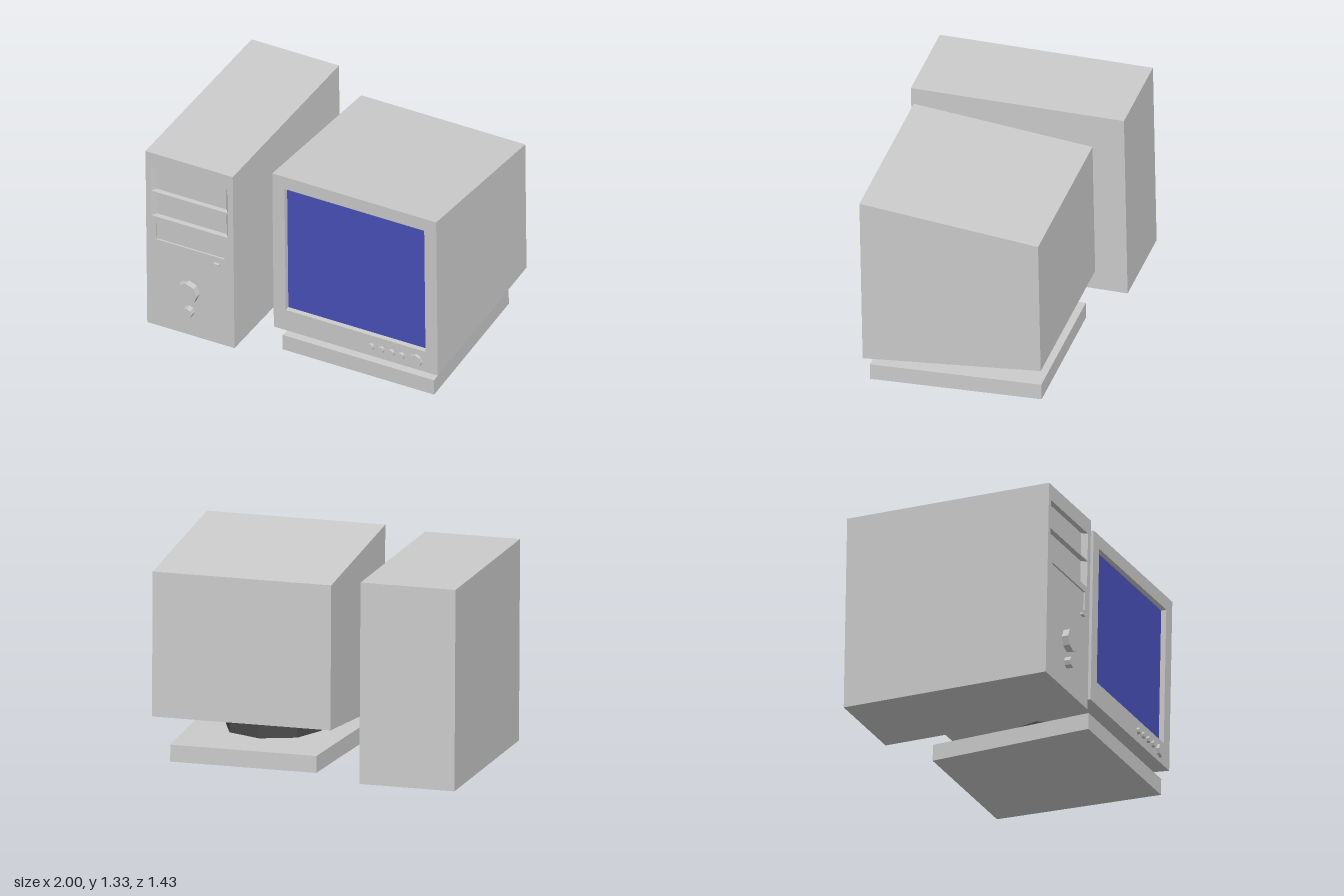
import * as THREE from 'three';

const grey = new THREE.MeshStandardMaterial({ color: 0xcccccc, flatShading: true });
const dark = new THREE.MeshStandardMaterial({ color: 0x4a4a4a, flatShading: true });
const blue = new THREE.MeshStandardMaterial({ color: 0x4a50bb });

// Skins rectangles [x0, x1, y0, y1, z], running from the back forwards, then inwards for a recess.
function loft(rings, capBack, capFront) {
  const pos = [];
  const corners = rings.map(([x0, x1, y0, y1, z]) =>
    [[x0, y0, z], [x1, y0, z], [x1, y1, z], [x0, y1, z]]);
  const quad = (a, b, c, d) => [a, b, c, a, c, d].forEach((p) => pos.push(...p));
  for (let i = 0; i < rings.length - 1; i++) {
    for (let j = 0; j < 4; j++) {
      const k = (j + 1) % 4;
      quad(corners[i][j], corners[i][k], corners[i + 1][k], corners[i + 1][j]);
    }
  }
  if (capBack) quad(...[...corners[0]].reverse());
  if (capFront) quad(...corners[corners.length - 1]);
  const g = new THREE.BufferGeometry();
  g.setAttribute('position', new THREE.Float32BufferAttribute(pos, 3));
  g.computeVertexNormals();
  return g;
}

function add(parent, name, geometry, material = grey, x = 0, y = 0, z = 0) {
  const mesh = new THREE.Mesh(geometry, material);
  mesh.name = name;
  mesh.position.set(x, y, z);
  parent.add(mesh);
  return mesh;
}

// Eight-sided button standing out of a front face at z
function addButton(parent, name, x, y, z, r, length) {
  const g = new THREE.CylinderGeometry(r, r, length + 0.01, 8).rotateX(Math.PI / 2);
  add(parent, name, g, grey, x, y, z + (length - 0.01) / 2);
}

function rectPoints(x0, x1, y0, y1) {
  return [[x0, y0], [x1, y0], [x1, y1], [x0, y1]].map((p) => new THREE.Vector2(...p));
}

function createTower() {
  const tower = new THREE.Group();
  tower.name = 'tower';
  const [x0, x1, y0, y1, depth] = [-1, -0.385, 0, 1.285, 1.38];
  add(tower, 'towerCase', loft([[x0, x1, y0, y1, -depth], [x0, x1, y0, y1, 0]], true, false));

  // Openings: x0, x1, y0, y1, depth, side taper
  const recesses = {
    upperDriveBay: [-0.965, -0.425, 1.0, 1.18, 0.035, 0.025],
    lowerDriveBay: [-0.965, -0.425, 0.815, 0.99, 0.035, 0.025],
    diskDrive: [-0.93, -0.45, 0.645, 0.772, 0.012, 0],
  };
  const front = new THREE.Shape(rectPoints(x0, x1, y0, y1));
  for (const [name, [a, b, c, d, deep, taper]] of Object.entries(recesses)) {
    front.holes.push(new THREE.Path(rectPoints(a, b, c, d)));
    add(tower, name, loft([[a, b, c, d, 0], [a + taper, b - taper, c, d, -deep]], false, true));
  }
  add(tower, 'towerFront', new THREE.ShapeGeometry(front));

  // Light and buttons
  add(tower, 'indicatorLight', new THREE.BoxGeometry(0.04, 0.015, 0.03), grey, -0.5, 0.597, 0.005);
  addButton(tower, 'powerButton', -0.7, 0.333, 0, 0.075, 0.043);
  addButton(tower, 'resetButton', -0.7, 0.184, 0, 0.037, 0.043);
  return tower;
}

function createMonitor() {
  const monitor = new THREE.Group();
  monitor.name = 'monitor';
  const [x0, x1, front] = [-0.155, 1, -0.09];
  const [sx0, sx1, sy0, sy1] = [-0.07, 0.915, 0.334, 1.243];

  // Housing tapering towards the back, with a sunken screen opening
  add(monitor, 'monitorHousing', loft([
    [x0, x1, 0.292, 1.217, -1.245],
    [x0, x1, 0.182, 1.333, front],
    [sx0, sx1, sy0, sy1, front],
    [sx0, sx1, sy0, sy1, front - 0.035],
  ], true, false));
  add(monitor, 'screen', new THREE.PlaneGeometry(sx1 - sx0, sy1 - sy0), blue,
    (sx0 + sx1) / 2, (sy0 + sy1) / 2, front - 0.035);

  // Control row
  for (let i = 0; i < 4; i++) {
    addButton(monitor, 'controlButton', 0.535 + i * 0.071, 0.257, front, 0.022, 0.02);
  }
  addButton(monitor, 'monitorPowerButton', 0.85, 0.254, front, 0.043, 0.02);

  // Swivel neck and wedge-plan foot
  add(monitor, 'neck', new THREE.CylinderGeometry(0.31, 0.31, 0.18, 8), dark, 0.413, 0.195, -0.577);
  add(monitor, 'foot', loft([
    [-0.055, 0.89, 0.005, 0.113, -1.212],
    [-0.112, 0.955, 0.005, 0.113, -0.122],
  ], true, true));
  return monitor;
}

export function createModel() {
  const model = new THREE.Group();
  model.name = 'desktopComputer';
  // The set leans slightly forwards, resting on the tower's front edge
  const tilted = new THREE.Group();
  tilted.name = 'tiltedSet';
  tilted.rotation.x = 0.0185;
  tilted.position.z = 0.665;
  tilted.add(createTower(), createMonitor());
  model.add(tilted);
  return model;
}
